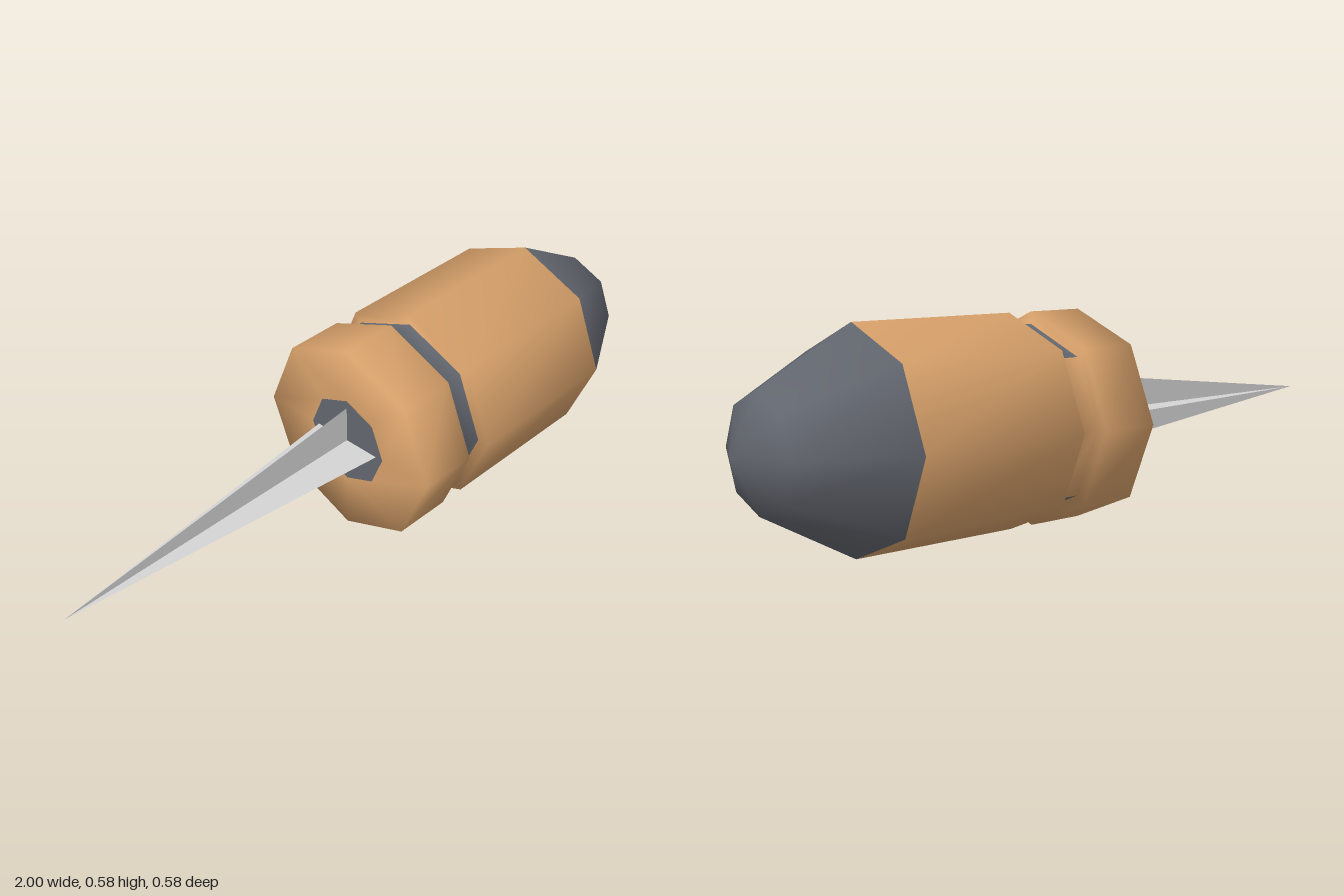
import * as THREE from 'three';
import { mergeVertices } from 'three/addons/utils/BufferGeometryUtils.js';

const SIDES = 8;
const AXIS_Y = 0.288;

const copper = new THREE.MeshStandardMaterial({ color: 0xd59f69 });
copper.name = 'copper';
const darkSteel = new THREE.MeshStandardMaterial({ color: 0x62666e });
darkSteel.name = 'dark steel';
const paleTrail = new THREE.MeshStandardMaterial({ color: 0xd4d4d4, side: THREE.DoubleSide });
paleTrail.name = 'pale trail';

const COPPER = 0;
const STEEL = 1;

// Stations along x: position, radius, colour of the band that starts there
const stations = [
  [-0.065, 0, STEEL],       // primer disc
  [-0.065, 0.13, COPPER],   // rear face
  [-0.065, 0.288, COPPER],  // rim
  [0.105, 0.288, COPPER],   // groove wall
  [0.105, 0.255, STEEL],    // groove floor
  [0.18, 0.255, COPPER],    // groove wall
  [0.18, 0.288, COPPER],    // casing
  [0.67, 0.288, STEEL],     // nose
  [0.93, 0.145, STEEL],     // nose tip
  [1, 0, STEEL],
];
const GROOVE = 4;

// Eight-sided body lofted along x with shared vertices for smooth shading
function bodyGeometry() {
  const positions = [];
  const index = [];
  const geometry = new THREE.BufferGeometry();
  for (const [x, r] of stations) {
    for (let i = 0; i < SIDES; i++) {
      const a = (i / SIDES) * Math.PI * 2;
      positions.push(x, AXIS_Y + r * Math.cos(a), r * Math.sin(a));
    }
  }
  for (let j = 0; j < stations.length - 1; j++) {
    for (let i = 0; i < SIDES; i++) {
      const k = (i + 1) % SIDES;
      const a = j * SIDES + i;
      const b = j * SIDES + k;
      // The two rearward groove panels are copper
      const bridge = j === GROOVE && (i === 5 || i === 6);
      geometry.addGroup(index.length, 6, bridge ? COPPER : stations[j][2]);
      index.push(a, b, a + SIDES, b, b + SIDES, a + SIDES);
    }
  }
  geometry.setAttribute('position', new THREE.Float32BufferAttribute(positions, 3));
  geometry.setIndex(index);
  const welded = mergeVertices(geometry, 1e-5);
  welded.computeVertexNormals();
  return welded;
}

export function createModel() {
  const group = new THREE.Group();
  group.name = 'bullet';

  const body = new THREE.Mesh(bodyGeometry(), [copper, darkSteel]);
  body.name = 'casingAndNose';
  group.add(body);

  // Tapering trail made of two crossed triangles
  const fin = new THREE.ShapeGeometry(new THREE.Shape([
    new THREE.Vector2(-1, 0),
    new THREE.Vector2(-0.065, -0.107),
    new THREE.Vector2(-0.065, 0.107),
  ]));
  const trail = new THREE.Group();
  trail.name = 'trail';
  trail.position.y = AXIS_Y;
  for (const [name, angle] of [['verticalTrail', 0], ['horizontalTrail', -Math.PI / 2]]) {
    const mesh = new THREE.Mesh(fin, paleTrail);
    mesh.name = name;
    mesh.rotation.x = angle;
    trail.add(mesh);
  }
  group.add(trail);
  return group;
}
